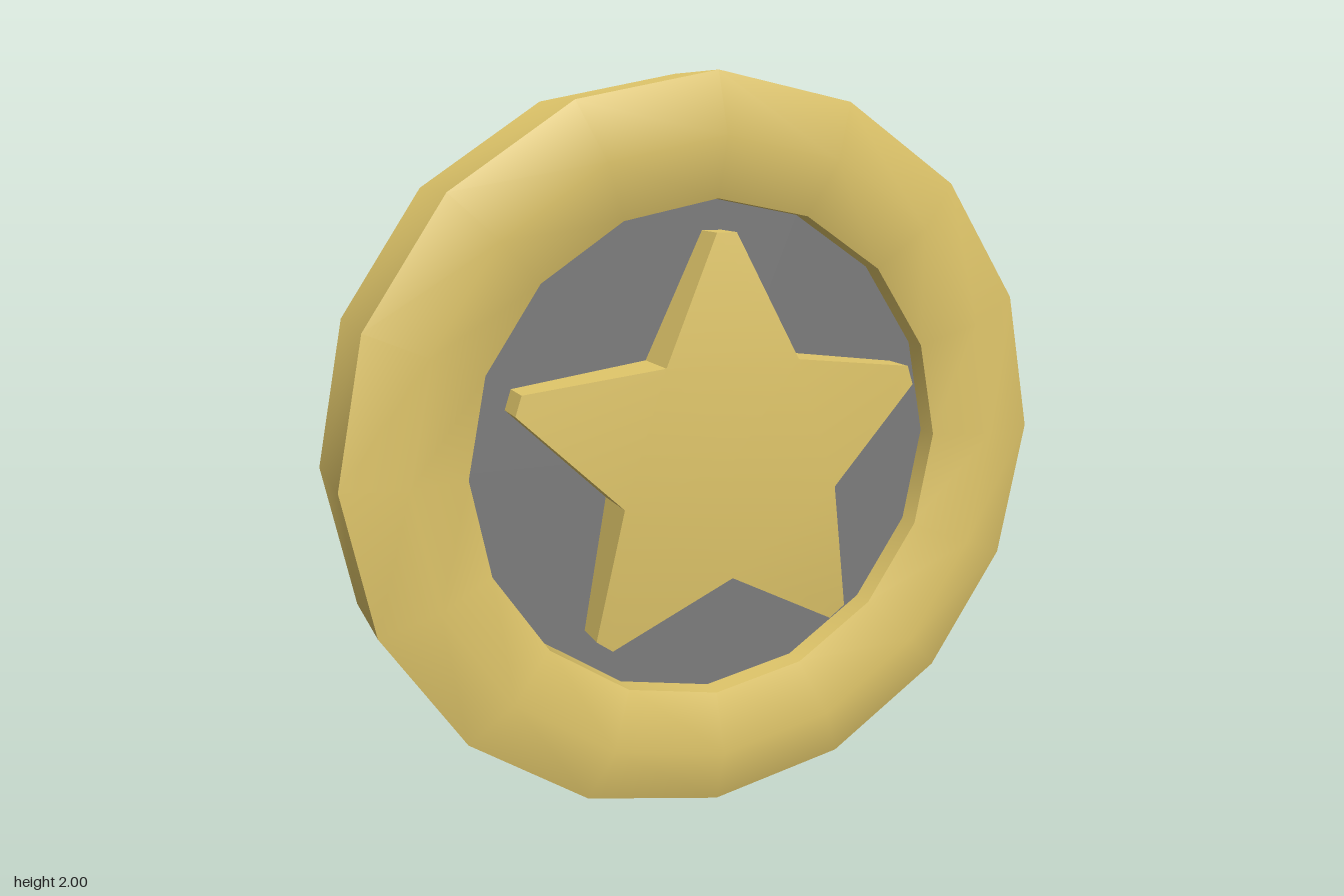
import * as THREE from 'three';
import { toCreasedNormals } from 'three/addons/utils/BufferGeometryUtils.js';

const gold = new THREE.MeshStandardMaterial({ color: 0xe0c66a });
const grey = new THREE.MeshStandardMaterial({ color: 0x7c7c7c });
const SIDES = 16;

// Star solid: flat pentagon in the middle, blunt arms sloping down to the tips
function starGeometry() {
  const notchR = 0.322, tipR = 0.595, tipHalf = 0.028, notchZ = 0.225, tipZ = 0.177;
  const verts = [];
  const tri = (a, b, c) => verts.push(...a, ...b, ...c);
  const quad = (a, b, c, d) => { tri(a, b, c); tri(a, c, d); };
  const back = ([x, y, z]) => [x, y, -z];
  const at = (angle, r, side, z) => [
    r * Math.cos(angle) - side * Math.sin(angle),
    r * Math.sin(angle) + side * Math.cos(angle), z];

  for (let i = 0; i < 5; i++) {
    const a = Math.PI / 2 + i * Math.PI * 0.4;
    const outline = [
      at(a - Math.PI / 5, notchR, 0, notchZ),
      at(a, tipR, -tipHalf, tipZ),
      at(a, tipR, tipHalf, tipZ),
      at(a + Math.PI / 5, notchR, 0, notchZ),
    ];
    const [n0, t0, t1, n1] = outline;
    // front and back faces
    tri([0, 0, notchZ], n0, n1);
    quad(n0, t0, t1, n1);
    tri([0, 0, -notchZ], back(n1), back(n0));
    quad(back(n1), back(t1), back(t0), back(n0));
    // side walls
    for (let k = 0; k < 3; k++) {
      const p = outline[k], q = outline[k + 1];
      quad(p, back(p), back(q), q);
    }
  }
  const g = new THREE.BufferGeometry();
  g.setAttribute('position', new THREE.Float32BufferAttribute(verts, 3));
  return toCreasedNormals(g, 0.5);
}

export function createModel() {
  const group = new THREE.Group();
  const add = (name, geometry, material, x = 0) => {
    const mesh = new THREE.Mesh(geometry, material);
    mesh.name = name;
    mesh.position.set(x, 1, 0);
    group.add(mesh);
  };

  // Rim: six-sided section, raised to a soft ridge on both faces
  const section = [
    [1, -0.145], [1, 0.145], [0.84, 0.2], [0.68, 0.145],
    [0.68, -0.145], [0.84, -0.2], [1, -0.145],
  ].map(([r, z]) => new THREE.Vector2(r, z));
  const rim = new THREE.LatheGeometry(section, SIDES).rotateX(Math.PI / 2);
  add('rim', toCreasedNormals(rim, 0.8), gold);

  // Recessed disc inside the rim
  const disc = new THREE.CylinderGeometry(0.69, 0.69, 0.16, SIDES).rotateX(Math.PI / 2);
  add('disc', disc, grey);

  // Star standing out of the disc on both faces
  add('star', starGeometry(), gold, 0.01);

  return group;
}
